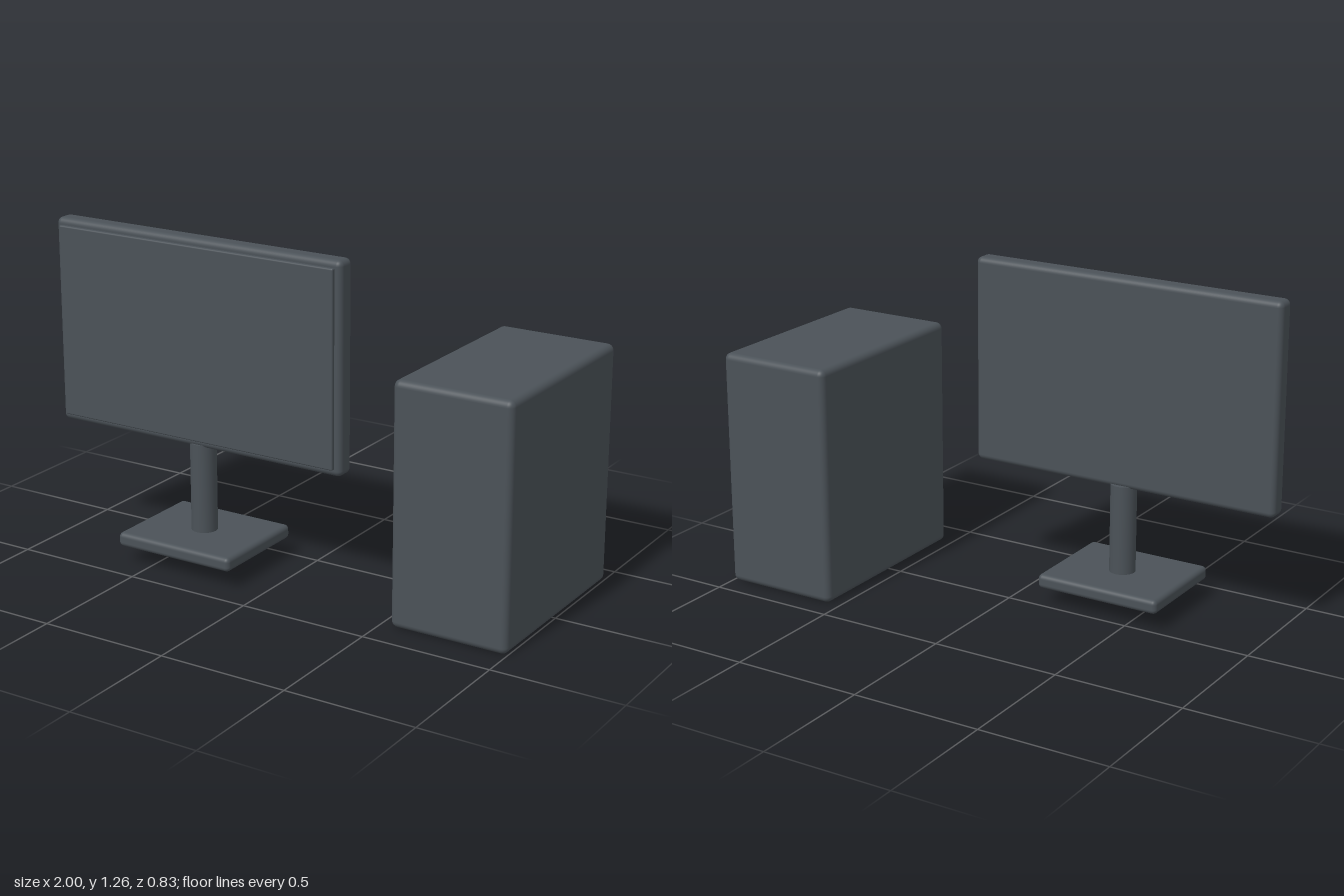
import * as THREE from 'three';
import { RoundedBoxGeometry } from 'three/addons/geometries/RoundedBoxGeometry.js';

export function createModel() {
  const model = new THREE.Group();
  model.name = 'desktopComputer';
  const slate = new THREE.MeshStandardMaterial({ color: 0x4b5258 });
  slate.name = 'slateGrey';

  function add(name, geometry, parent, x, y, z) {
    const mesh = new THREE.Mesh(geometry, slate);
    mesh.name = name;
    mesh.position.set(x, y, z);
    parent.add(mesh);
  }

  // Rounded box given by its [min, max] extents
  function addBox(name, parent, [x0, x1], [y0, y1], [z0, z1], radius) {
    const geometry = new RoundedBoxGeometry(x1 - x0, y1 - y0, z1 - z0, 4, radius);
    add(name, geometry, parent, (x0 + x1) / 2, (y0 + y1) / 2, (z0 + z1) / 2);
  }

  // Monitor: casing, raised screen, post and foot
  const monitor = new THREE.Group();
  monitor.name = 'monitor';
  model.add(monitor);
  addBox('casing', monitor, [-1, 0.255], [0.46, 1.258], [0.172, 0.252], 0.022);
  addBox('screen', monitor, [-0.975, 0.23], [0.488, 1.232], [0.25, 0.268], 0.006);
  add('post', new THREE.CylinderGeometry(0.05, 0.05, 0.37, 32), monitor, -0.373, 0.285, 0.207);
  addBox('foot', monitor, [-0.625, -0.123], [0.067, 0.122], [0, 0.417], 0.018);

  // Computer tower
  addBox('tower', model, [0.54, 1], [0, 0.915], [-0.417, 0.383], 0.025);

  return model;
}
